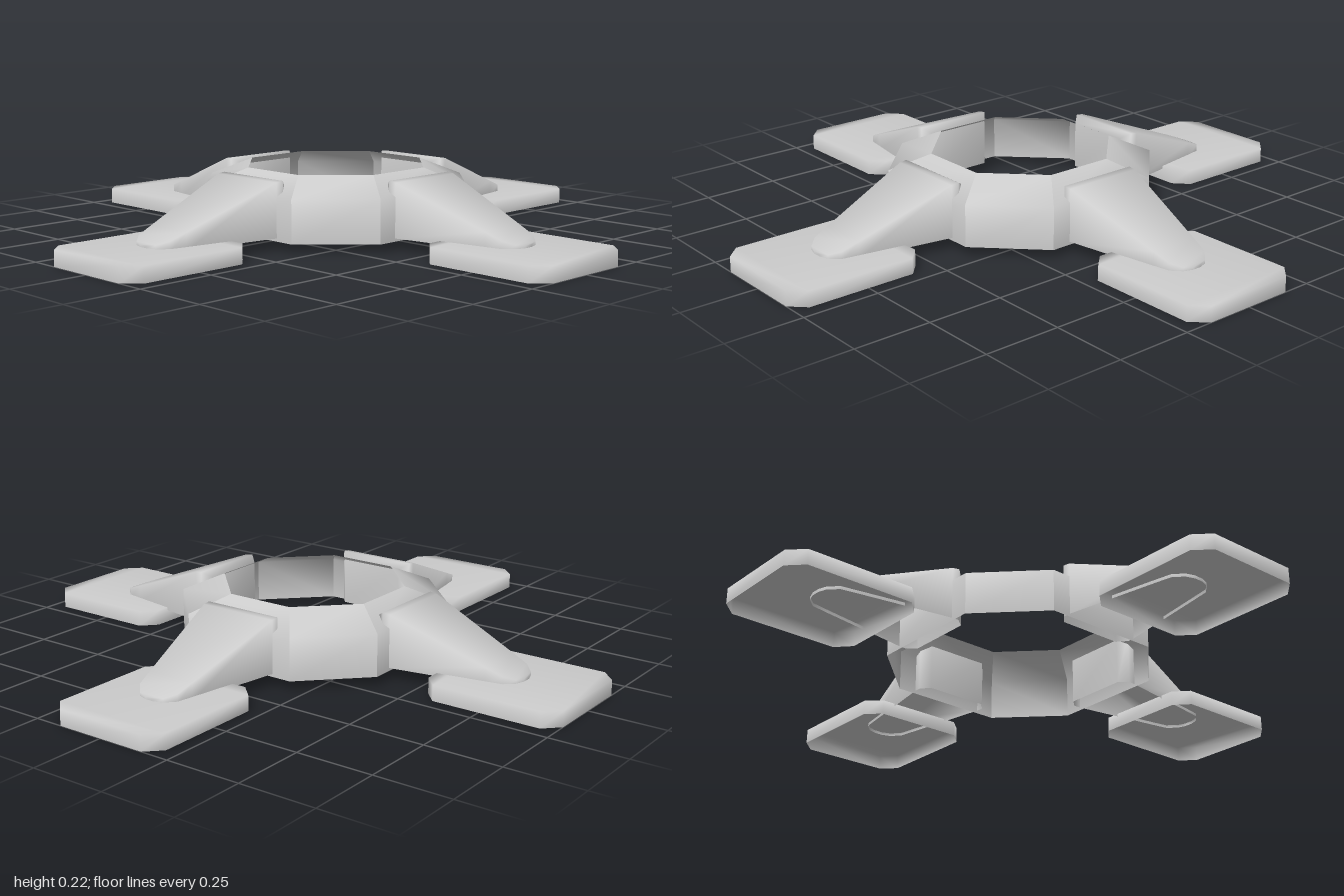
import * as THREE from 'three';

const material = new THREE.MeshStandardMaterial({ color: 0xcccccc, side: THREE.DoubleSide });

function meshFrom(points, index, name) {
  const geometry = new THREE.BufferGeometry();
  geometry.setAttribute('position', new THREE.Float32BufferAttribute(points.flat(), 3));
  geometry.setIndex(index);
  geometry.computeVertexNormals();
  const mesh = new THREE.Mesh(geometry, material);
  mesh.name = name;
  return mesh;
}

// Open-bottomed shell, symmetric in x: half outline of [halfWidth, z, topY], walls down to baseY
function shell(half, baseY, flare, name) {
  const n = half.length;
  const outline = [...half, ...half.map(([x, z, y]) => [-x, z, y]).reverse()];
  const count = outline.length;
  const top = outline.map(([x, z, y]) => [x, y, z]);
  const base = outline.map(([x, z]) => [x * flare, baseY, z]);
  const index = [];
  for (let i = 0; i < count; i++) {
    const j = (i + 1) % count;
    index.push(count + i, i, count + j, i, j, count + j);
  }
  for (let i = 0; i < n - 1; i++) {
    const l = count - 1 - i;
    index.push(l, l - 1, i, i, l - 1, i + 1);
  }
  return meshFrom([...top, ...base], index, name);
}

// Eight corners of a square with cut corners
function octagon(r, h) {
  return [[r, -h], [r, h], [h, r], [-h, r], [-r, h], [-r, -h], [-h, -r], [h, -r]];
}

// Hub: upright outer wall and sloping collar around an open centre
function createHub() {
  const hub = new THREE.Group();
  hub.name = 'hubRing';
  const outer = octagon(0.39, 0.2);
  const inner = octagon(0.28, 0.116);
  for (let i = 0; i < 8; i++) {
    const points = [];
    for (const k of [i, (i + 1) % 8]) {
      const [x, z] = outer[k];
      const [u, v] = inner[k];
      points.push([x, 0.03, z], [x, 0.168, z], [u, 0.222, v]);
    }
    hub.add(meshFrom(points, [0, 1, 3, 1, 4, 3, 1, 2, 4, 2, 5, 4], 'hubSide'));
  }
  return hub;
}

// Sloping strut with a rounded tip, resting on a flat foot
function createArm() {
  const arm = new THREE.Group();
  const slope = (x, z) => [x, z, 0.212 - (z - 0.39) * 0.382];
  arm.add(shell([
    [0.11, 0.335, 0.197], [0.136, 0.365, 0.215], slope(0.135, 0.39),
    slope(0.083, 0.7), slope(0.073, 0.755), slope(0.045, 0.785), slope(0.015, 0.795),
  ], 0.04, 1, 'strut'));
  arm.add(shell([
    [0.155, 0.547, 0.05], [0.203, 0.592, 0.05], [0.203, 0.952, 0.05], [0.155, 1, 0.05],
  ], 0, 1.005, 'foot'));
  return arm;
}

export function createModel() {
  const model = new THREE.Group();
  model.name = 'fourFootedBase';
  model.add(createHub());
  ['frontArm', 'leftArm', 'backArm', 'rightArm'].forEach((name, i) => {
    const arm = createArm();
    arm.name = name;
    arm.rotation.y = i * Math.PI / 2;
    model.add(arm);
  });
  return model;
}
